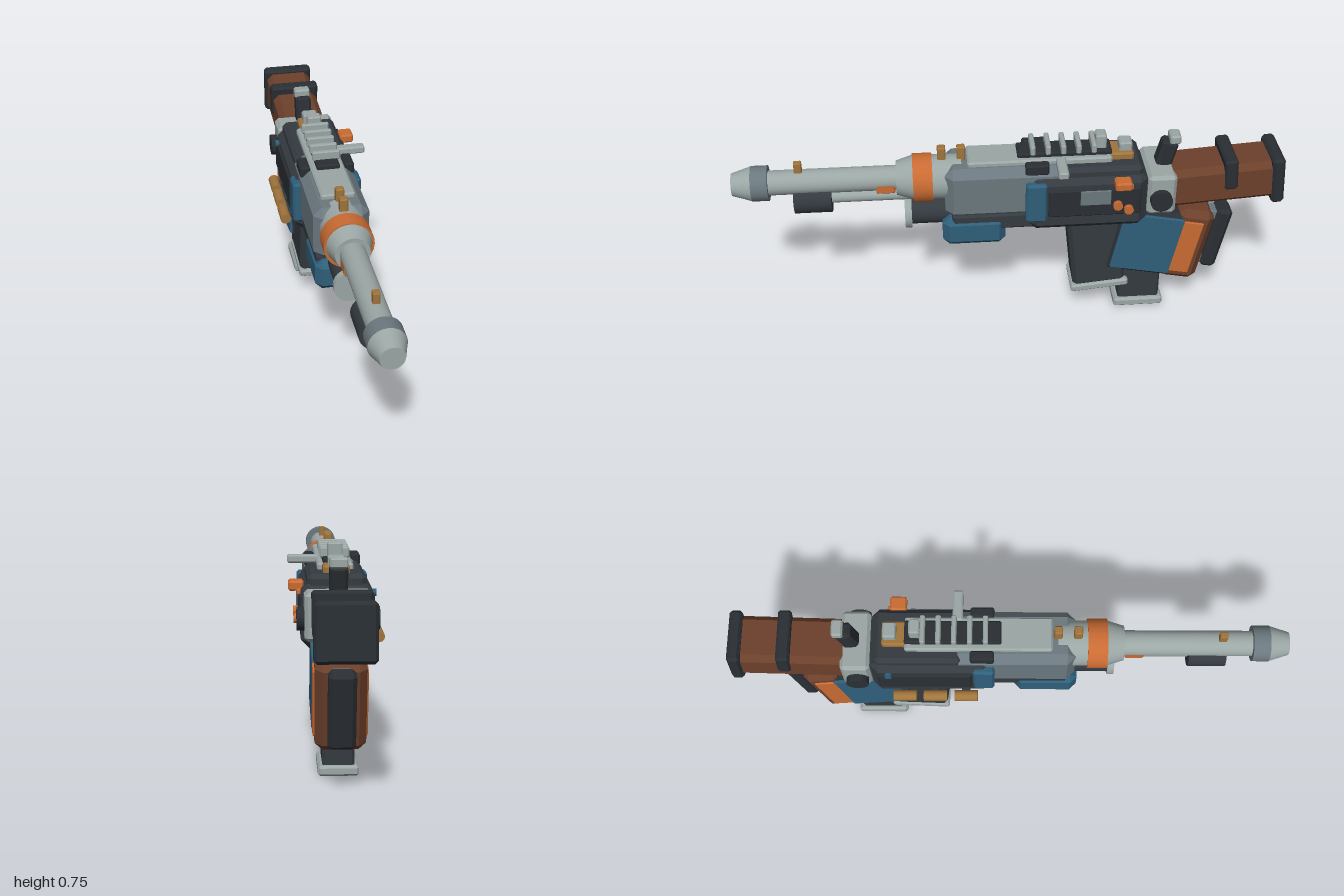
import * as THREE from 'three';
import { ConvexGeometry } from 'three/addons/geometries/ConvexGeometry.js';

const mat = (name, color) => {
  const m = new THREE.MeshStandardMaterial({ color });
  m.name = name;
  return m;
};

export function createModel() {
  const root = new THREE.Group();
  root.name = 'blaster';
  const light = mat('light steel', 0x9ba7a5), slate = mat('slate steel', 0x6b787f);
  const dark = mat('dark metal', 0x343a40), black = mat('black rubber', 0x2a2f34);
  const blue = mat('blue paint', 0x2f5f7b), brown = mat('brown polymer', 0x6c402b);
  const orange = mat('orange paint', 0xc96b33), brass = mat('brass', 0xa0743c);

  const add = (name, geo, material, parent = root) => {
    const m = new THREE.Mesh(geo, material);
    m.name = name;
    parent.add(m);
    return m;
  };

  // Box with cut corners, given by its x, y and z ranges
  const box = (name, material, [x0, x1], [y0, y1], [z0, z1], c = 0.006, parent = root) => {
    const h = [(x1 - x0) / 2, (y1 - y0) / 2, (z1 - z0) / 2];
    c = Math.min(c, 0.45 * Math.min(...h));
    const pts = [];
    for (const sx of [-1, 1]) for (const sy of [-1, 1]) for (const sz of [-1, 1])
      for (let k = 0; k < 3; k++) {
        const q = h.map((v, i) => (i === k ? v : v - c));
        pts.push(new THREE.Vector3(q[0] * sx, q[1] * sy, q[2] * sz));
      }
    const m = add(name, new ConvexGeometry(pts), material, parent);
    m.position.set((x0 + x1) / 2, (y0 + y1) / 2, (z0 + z1) / 2);
    return m;
  };
  const wide = (w) => [-w, w];

  // Cylinder along z from z0 (radius r0) to z1 (radius r1)
  const rod = (name, material, y, z0, z1, r0, r1 = r0, x = 0, sides = 24) => {
    const g = new THREE.CylinderGeometry(r1, r0, z1 - z0, sides);
    g.rotateX(Math.PI / 2);
    const m = add(name, g, material);
    m.position.set(x, y, (z0 + z1) / 2);
    return m;
  };

  // Disc facing sideways
  const disc = (name, material, x, y, z, r, len) => {
    const g = new THREE.CylinderGeometry(r, r, len, 20);
    g.rotateZ(Math.PI / 2);
    add(name, g, material).position.set(x, y, z);
  };

  // Barrel, muzzle and collar
  rod('barrel', light, 0.602, 0.2, 0.9, 0.045);
  rod('muzzleRing', slate, 0.602, 0.87, 0.93, 0.064);
  rod('muzzleCone', light, 0.602, 0.93, 1.0, 0.063, 0.041);
  rod('barrelCone', light, 0.6, 0.35, 0.415, 0.082, 0.062);
  rod('collarRing', orange, 0.596, 0.285, 0.355, 0.089);
  rod('collarSleeve', light, 0.598, 0.18, 0.285, 0.081);
  box('frontSight', brass, wide(0.012), [0.64, 0.685], [0.748, 0.776], 0.003);
  for (const z of [0.18, 0.25])
    box('midSight', brass, wide(0.015), [0.66, 0.725], [z - 0.015, z + 0.015], 0.004);

  // Under-barrel tubes
  rod('gasBlock', dark, 0.534, 0.65, 0.785, 0.058);
  rod('gasTube', light, 0.533, 0.3, 0.66, 0.024);
  box('barrelClip', orange, wide(0.044), [0.56, 0.6], [0.42, 0.488], 0.005);
  rod('lowerTube', dark, 0.457, 0.15, 0.367, 0.052);
  rod('lowerTubeCap', light, 0.45, 0.365, 0.39, 0.06);
  box('foregrip', blue, wide(0.097), [0.345, 0.465], [0.025, 0.255], 0.025);

  // Receiver
  box('upperReceiver', slate, wide(0.1), [0.465, 0.67], [-0.2, 0.243], 0.03);
  box('lowerReceiver', dark, wide(0.09), [0.412, 0.48], [-0.2, 0.22], 0.01);
  box('mainReceiver', dark, wide(0.121), [0.412, 0.64], [-0.487, -0.055], 0.03);
  box('receiverTop', dark, wide(0.1), [0.6, 0.665], [-0.47, -0.16], 0.015);
  box('topCover', light, wide(0.062), [0.66, 0.687], [-0.36, 0.16], 0.008);
  for (const s of [-1, 1]) {
    const side = (a, b) => (s > 0 ? [a, b] : [-b, -a]);
    box('bluePanel', blue, side(0.09, 0.127), [0.46, 0.62], [-0.122, -0.045], 0.012);
    box('sidePanel', black, side(0.1, 0.129), [0.48, 0.595], [-0.46, -0.125], 0.006);
    box('topRailBlock', black, side(0.064, 0.1), [0.645, 0.688], [-0.13, -0.045], 0.006);
    disc('hingeDisc', black, s * 0.12, 0.53, -0.535, 0.04, 0.034);
  }
  box('ejectionPort', slate, [0.125, 0.133], [0.53, 0.59], [-0.35, -0.24], 0.003);
  box('boltHandle', light, [0.05, 0.162], [0.664, 0.692], [-0.192, -0.156], 0.005);
  box('selector', orange, [0.11, 0.162], [0.602, 0.636], [-0.42, -0.36], 0.006);
  box('selectorFoot', orange, [0.11, 0.135], [0.59, 0.61], [-0.43, -0.405], 0.004);
  disc('button', orange, 0.133, 0.527, -0.375, 0.017, 0.024);
  disc('button', orange, 0.133, 0.508, -0.415, 0.017, 0.024);
  disc('leftKnob', blue, -0.125, 0.596, -0.42, 0.013, 0.02);

  // Spare rounds on the left side
  for (const z of [-0.37, -0.26, -0.148]) {
    rod('spareRound', brass, 0.441, z - 0.042, z + 0.042, 0.02, 0.02, -0.147, 16);
    box('roundClip', dark, [-0.14, -0.1], [0.43, 0.452], [z - 0.015, z + 0.015], 0.003);
  }

  // Top rail and sights
  box('rail', black, wide(0.042), [0.68, 0.704], [-0.36, -0.02], 0.005);
  for (let i = 0; i < 5; i++) {
    const z = -0.075 - i * 0.055;
    box('railRib', light, wide(0.051), [0.698, 0.734], [z - 0.009, z + 0.009], 0.004);
  }
  box('rearSight', light, wide(0.026), [0.69, 0.755], [-0.342, -0.303], 0.005);
  box('sightBase', brass, wide(0.045), [0.65, 0.69], [-0.44, -0.355], 0.006);
  box('sightBlock', light, wide(0.028), [0.68, 0.722], [-0.435, -0.388], 0.005);
  const lever = box('hammer', black, wide(0.03), [0.61, 0.715], [-0.595, -0.535], 0.01);
  lever.rotation.x = -0.25;
  box('hammerCap', light, wide(0.03), [0.705, 0.74], [-0.612, -0.572], 0.006);

  // Stock and its hinge
  box('hingeBlock', light, wide(0.112), [0.46, 0.622], [-0.592, -0.487], 0.012);
  const stock = new THREE.Group();
  stock.name = 'stock';
  stock.position.set(0, 0.556, -0.78);
  stock.rotation.x = 0.07;
  root.add(stock);
  box('stockBody', brown, wide(0.088), [-0.077, 0.077], [-0.19, 0.24], 0.022, stock);
  box('buttPad', black, wide(0.097), [-0.095, 0.093], [-0.212, -0.165], 0.012, stock);
  box('stockBand', black, wide(0.096), [-0.015, 0.108], [-0.04, 0.008], 0.008, stock);

  // Leaning front magazine
  const mag = new THREE.Group();
  mag.name = 'frontMagazine';
  mag.position.set(0, 0.29, -0.315);
  mag.rotation.x = 0.1;
  root.add(mag);
  box('magazineBody', dark, wide(0.073), [-0.17, 0.17], [-0.1, 0.1], 0.015, mag);
  box('magazineBase', light, wide(0.077), [-0.192, -0.162], [-0.11, 0.11], 0.008, mag);

  // Rear magazine
  box('rearMagazine', dark, wide(0.054), [0.02, 0.35], [-0.568, -0.41], 0.008);
  box('rearMagazineBase', light, wide(0.069), [0, 0.036], [-0.582, -0.393], 0.008);

  // Leaning grip housing with painted cheeks
  const grip = new THREE.Group();
  grip.name = 'grip';
  grip.position.set(0, 0.295, -0.55);
  grip.rotation.x = -0.2;
  root.add(grip);
  box('gripFrame', black, wide(0.082), [-0.14, 0.145], [-0.08, 0.185], 0.02, grip);
  box('gripShell', brown, wide(0.084), [-0.145, 0.165], [-0.18, -0.04], 0.025, grip);
  for (const s of [-1, 1]) {
    const side = (a, b) => (s > 0 ? [a, b] : [-b, -a]);
    box('gripBluePlate', blue, side(0.078, 0.091), [-0.118, 0.13], [-0.065, 0.165], 0.005, grip);
    box('gripOrangePlate', orange, side(0.076, 0.09), [-0.105, 0.125], [-0.14, -0.06], 0.005, grip);
  }
  box('gripBar', black, wide(0.045), [-0.1, 0.165], [-0.255, -0.195], 0.015, grip);
  for (const y of [-0.07, 0.13])
    box('gripBarMount', slate, wide(0.03), [y - 0.02, y + 0.02], [-0.21, -0.16], 0.004, grip);
  box('gripNeck', dark, wide(0.07), [0.38, 0.47], [-0.6, -0.4], 0.01);

  return root;
}
